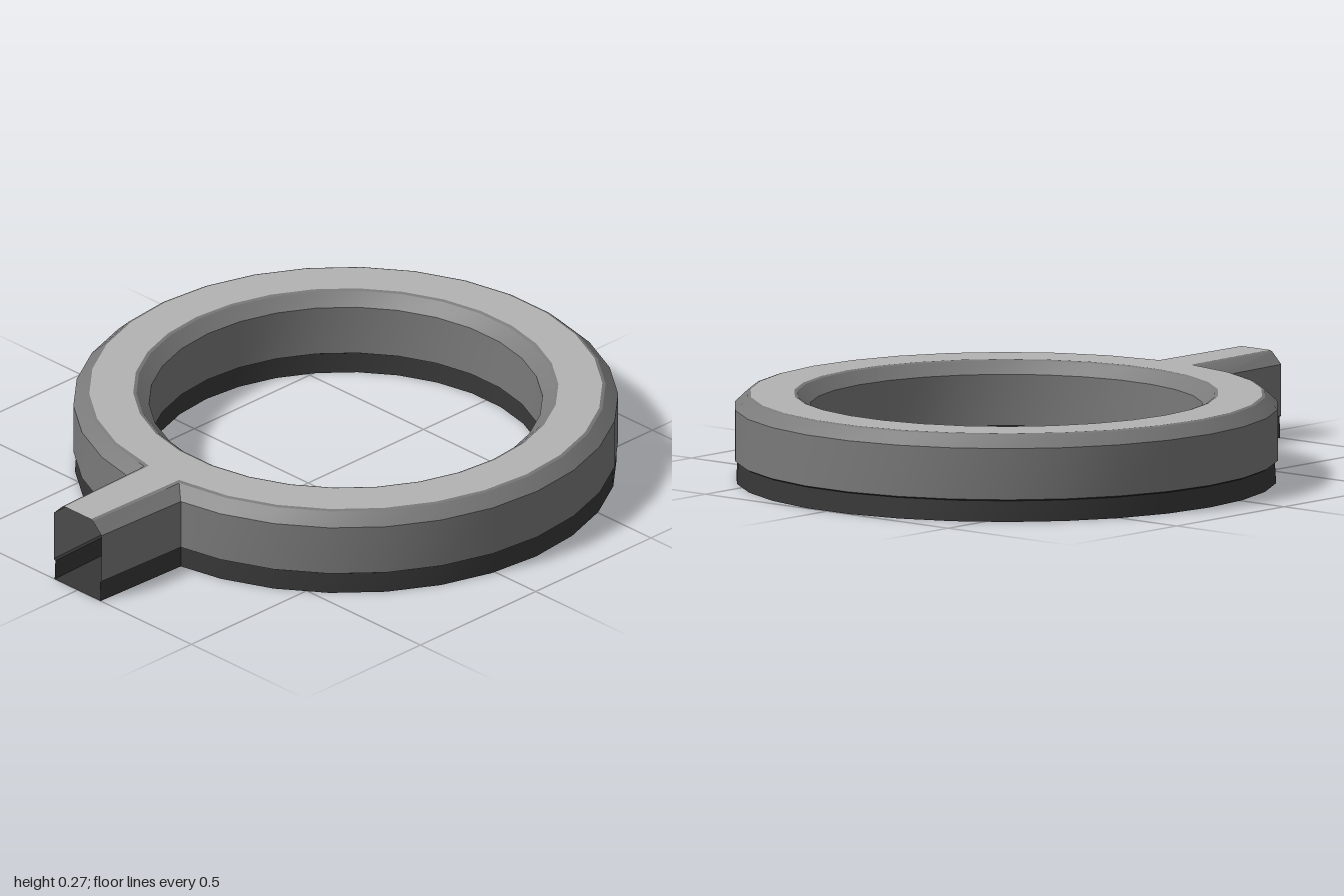
import * as THREE from 'three';
import { toCreasedNormals } from 'three/addons/utils/BufferGeometryUtils.js';

const SIDES = 30;
const STEP = (Math.PI * 2) / SIDES;
const CENTRE_Z = -0.163;
const END_Z = 1;

// 30-sided circle; the two front corners are replaced by the handle outline,
// or doubled when there is no handle (inner loops)
function makeLoop({ y, r, base, tip }) {
  const points = [];
  const corner = (i) => new THREE.Vector3(
    r * Math.cos(i * STEP), y, CENTRE_Z + r * Math.sin(i * STEP));
  const flat = r * Math.cos(STEP / 2);
  // depth at which the handle side meets the faceted rim
  const rimZ = (x) => CENTRE_Z + Math.min(
    flat, (flat - x * Math.sin(STEP)) / Math.cos(STEP));

  for (let i = 0; i < SIDES; i++) {
    if (i !== 7 && i !== 8) {
      points.push(corner(i));
    } else if (base === undefined) {
      points.push(corner(i), corner(i));
    } else {
      const rim = (s) => new THREE.Vector3(s * base, y, rimZ(base));
      const end = (s) => new THREE.Vector3(s * tip, y, END_Z);
      points.push(...(i === 7 ? [rim(1), end(1)] : [end(-1), rim(-1)]));
    }
  }
  return points;
}

// Join consecutive loops into a strip, leaving the handle's end open
function skin(name, color, sections) {
  const loops = sections.map(makeLoop);
  const positions = [];
  const addTriangle = (...corners) => {
    const atOpenEnd = corners.every((p) => p.z === END_Z);
    if (atOpenEnd || new THREE.Triangle(...corners).getArea() < 1e-8) return;
    for (const p of corners) positions.push(p.x, p.y, p.z);
  };
  for (let k = 0; k < loops.length - 1; k++) {
    const [loop, next] = [loops[k], loops[k + 1]];
    loop.forEach((a, i) => {
      const j = (i + 1) % loop.length;
      addTriangle(a, next[i], loop[j]);
      addTriangle(loop[j], next[i], next[j]);
    });
  }
  const geometry = new THREE.BufferGeometry();
  geometry.setAttribute('position', new THREE.Float32BufferAttribute(positions, 3));
  const mesh = new THREE.Mesh(
    toCreasedNormals(geometry, Math.PI / 7),
    new THREE.MeshStandardMaterial({ color, side: THREE.DoubleSide }));
  mesh.name = name;
  return mesh;
}

export function createModel() {
  const group = new THREE.Group();
  group.name = 'hollowRingWithHandle';

  // Loops shared by neighbouring parts
  const outerSeam = { y: 0.07, r: 0.842, base: 0.117, tip: 0.105 };
  const innerSeam = { y: 0.07, r: 0.608 };
  const outerTop = { y: 0.27, r: 0.793, base: 0.066, tip: 0.058 };
  const innerTop = { y: 0.27, r: 0.657 };

  group.add(
    // dark recessed foot: inner band, underside, outer band
    skin('foot', 0x373737, [
      innerSeam,
      { y: 0.065, r: 0.617 },
      { y: 0, r: 0.613 },
      { y: 0, r: 0.837, base: 0.113, tip: 0.101 },
      { y: 0.065, r: 0.833, base: 0.11, tip: 0.098 },
      outerSeam,
    ]),
    // outer wall, chamfer and narrow lip
    skin('outerWall', 0x7a7a7a, [
      outerSeam,
      { y: 0.23, r: 0.842, base: 0.117, tip: 0.105 },
      { y: 0.267, r: 0.803, base: 0.077, tip: 0.067 },
      outerTop,
    ]),
    // pale top face of ring and handle
    skin('topFace', 0xb3b3b3, [outerTop, innerTop]),
    // narrow lip, chamfer and inner wall
    skin('innerWall', 0x7a7a7a, [
      innerTop,
      { y: 0.267, r: 0.647 },
      { y: 0.23, r: 0.608 },
      innerSeam,
    ]));
  return group;
}
